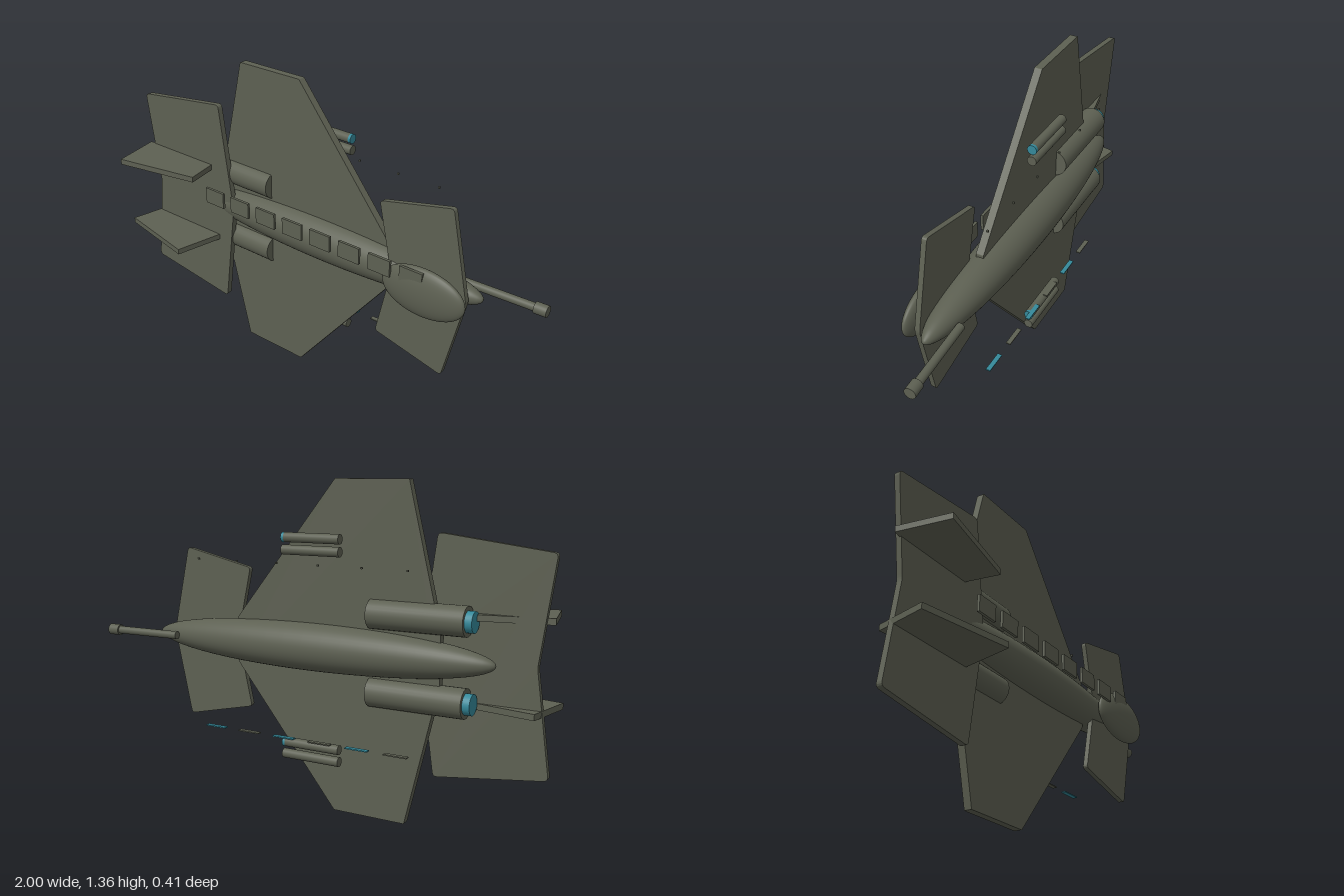
import * as THREE from 'three';

export function createModel() {
  const root = new THREE.Group();
  const hull = new THREE.MeshStandardMaterial({ color: 0x5d6052 });
  hull.name = 'olive grey hull';
  const teal = new THREE.MeshStandardMaterial({ color: 0x35899a });
  teal.name = 'teal glow';
  const MID = 0.683; // centre line height

  function add(name, geometry, material, x, y, z) {
    const mesh = new THREE.Mesh(geometry, material);
    mesh.name = name;
    mesh.position.set(x, y, z);
    root.add(mesh);
    return mesh;
  }
  const box = (name, mat, size, pos) => add(name, new THREE.BoxGeometry(...size), mat, ...pos);
  const ellipsoid = (name, radii, pos) =>
    add(name, new THREE.SphereGeometry(1, 40, 28).rotateZ(-Math.PI / 2).scale(...radii), hull, ...pos);
  // Cylinder along x from x0 to x1
  const rod = (name, mat, r, x0, x1, y, z) =>
    add(name, new THREE.CylinderGeometry(r, r, x1 - x0, 28).rotateZ(-Math.PI / 2), mat, (x0 + x1) / 2, y, z);

  // Flat plate in the xy plane with slightly rounded corners
  function plate(name, corners, z0, z1, round) {
    const pts = corners.map(([x, y]) => new THREE.Vector2(x, y));
    const shape = new THREE.Shape();
    pts.forEach((p, i) => {
      const prev = pts[(i + pts.length - 1) % pts.length];
      const next = pts[(i + 1) % pts.length];
      const a = p.clone().add(prev.clone().sub(p).setLength(round));
      const b = p.clone().add(next.clone().sub(p).setLength(round));
      if (i === 0) shape.moveTo(a.x, a.y);
      else shape.lineTo(a.x, a.y);
      shape.quadraticCurveTo(p.x, p.y, b.x, b.y);
    });
    shape.closePath();
    const geo = new THREE.ExtrudeGeometry(shape, { depth: z1 - z0, bevelEnabled: false, curveSegments: 4 });
    add(name, geo, hull, 0, 0, z0);
  }
  // Half outline mirrored across the centre line
  const mirrored = (half) => [
    ...half.map(([x, d]) => [x, MID + d]),
    ...half.slice().reverse().filter(([, d]) => d > 0).map(([x, d]) => [x, MID - d]),
  ];

  // Body and canopy
  ellipsoid('fuselage', [0.788, 0.1, 0.1], [-0.013, MID, -0.092]);
  ellipsoid('canopy', [0.19, 0.108, 0.038], [0.565, MID, 0.009]);

  // Main wing, tail plane and nose wing
  plate('mainWing', mirrored([[0.35, 0.1], [-0.12, 0.682], [-0.44, 0.682], [-0.58, 0.1]]), -0.1, -0.067, 0.003);
  plate('tailPlane', mirrored([[-0.47, 0], [-0.537, 0.483], [-1, 0.424], [-0.942, 0]]), -0.044, -0.019, 0.018);
  plate('noseWing', mirrored([[0.735, 0], [0.651, 0.378], [0.321, 0.304], [0.388, 0]]), -0.051, -0.029, 0.016);

  for (const side of [1, -1]) {
    // Swept upright fins, tilted opposite ways
    const fin = box('tailFin', hull, [0.392, 0.025, 0.226], [-0.7825, MID + side * 0.173, 0.0525]);
    fin.rotation.y = side * 0.195;

    // Engines with glowing nozzles
    const ey = MID + side * 0.158;
    rod('engine', hull, 0.06, -0.685, -0.28, ey, -0.087);
    rod('engineNozzle', teal, 0.042, -0.715, -0.685, ey, -0.09);

    // Paired missiles under the wing, one with a teal tip
    const my = MID + side * 0.424 + 0.001;
    rod('missile', hull, 0.02, -0.18, 0.082, my - 0.025, -0.164);
    rod('missile', hull, 0.02, -0.18, 0.07, my + 0.025, -0.164);
    rod('missileTip', teal, 0.02, 0.07, 0.082, my + 0.025, -0.164);
  }

  // Nose gun, slightly tilted
  const gun = new THREE.Group();
  gun.name = 'noseGun';
  gun.position.set(0.635, MID, -0.165);
  gun.rotation.y = 0.045;
  gun.add(rod('gunBarrel', hull, 0.017, 0, 0.34, 0, 0));
  gun.add(rod('gunMuzzle', hull, 0.024, 0.313, 0.365, 0, 0));
  root.add(gun);

  // Row of raised panels along the back
  for (let i = 0; i < 8; i++) {
    box('backPanel', hull, [0.105, 0.072, 0.012], [-0.526 + i * 0.15, 0.747, 0.034]);
  }

  // Light strips and small studs beneath the wing
  for (let i = 0; i < 6; i++) {
    box('lightStrip', i % 2 ? hull : teal, [0.1, 0.005, 0.02], [0.417 - i * 0.171, 0.306, -0.18]);
    box('stud', hull, [0.007, 0.007, 0.008], [0.481 - i * 0.193, 1.03, -0.196]);
  }
  return root;
}
